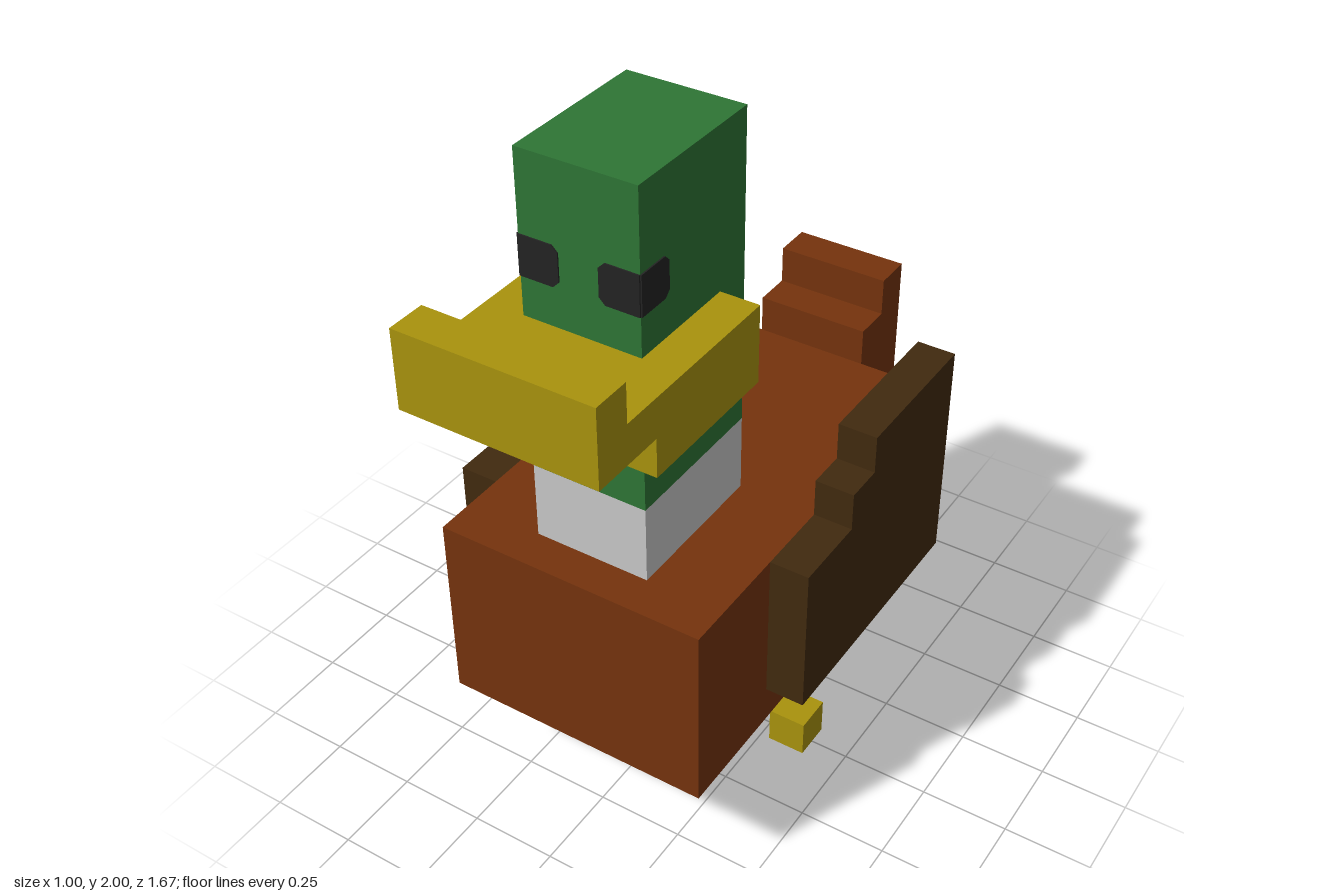
import * as THREE from 'three';

const U = 1 / 9; // one block

const mat = (name, color) => {
  const m = new THREE.MeshStandardMaterial({ color });
  m.name = name;
  return m;
};

export function createModel() {
  const brown = mat('body brown', 0x75330d);
  const darkBrown = mat('wing brown', 0x412a0f);
  const green = mat('head green', 0x2e7535);
  const white = mat('collar white', 0xc9c9c9);
  const yellow = mat('beak yellow', 0xa9930d);
  const black = mat('eye black', 0x232323);

  const root = new THREE.Group();
  root.name = 'duck';

  // Box from its extents in blocks
  const block = (parent, name, material, [x0, x1], [y0, y1], [z0, z1]) => {
    const mesh = new THREE.Mesh(
      new THREE.BoxGeometry((x1 - x0) * U, (y1 - y0) * U, (z1 - z0) * U), material);
    mesh.position.set((x0 + x1) * U / 2, (y0 + y1) * U / 2, (z0 + z1) * U / 2);
    mesh.name = name;
    parent.add(mesh);
  };
  const group = (name) => {
    const g = new THREE.Group();
    g.name = name;
    root.add(g);
    return g;
  };
  // Outline in blocks, extruded to a thickness in units
  const extrude = (points, depth) => new THREE.ExtrudeGeometry(
    new THREE.Shape(points.map(([a, b]) => new THREE.Vector2(a * U, b * U))),
    { depth, bevelEnabled: false });

  // Body and upturned tail
  block(root, 'body', brown, [-3.5, 3.5], [3, 8], [-4.5, 5.5]);
  block(root, 'rump', brown, [-2.5, 2.5], [3, 8], [-5.5, -4.5]);
  const tail = group('tail');
  block(tail, 'tailBase', brown, [-1.5, 1.5], [5, 9], [-6.5, -5.5]);
  block(tail, 'tailTip', brown, [-1.5, 1.5], [6, 10], [-7.5, -6.5]);

  // Neck and head
  block(root, 'collar', white, [-1.5, 1.5], [8, 10], [0.5, 4.5]);
  block(root, 'head', green, [-1.5, 1.5], [10, 18], [0.5, 4.5]);

  // Beak with raised tip
  const beak = group('beak');
  block(beak, 'beakBase', yellow, [-2.5, 2.5], [12, 14], [1.5, 5.5]);
  block(beak, 'beakBridge', yellow, [-2.5, 2.5], [13, 14], [5.5, 6.5]);
  block(beak, 'beakTip', yellow, [-2.5, 2.5], [13, 15], [6.5, 7.5]);

  for (const s of [1, -1]) {
    const side = s > 0 ? 'left' : 'right';

    // Stepped wing; the right one reaches one block further forward
    const front = s > 0 ? 2.5 : 3.5;
    const wingGeo = extrude([[-4.5, 4], [front, 4], [front, 8], [0.5, 8],
      [0.5, 9], [-0.5, 9], [-0.5, 10], [-4.5, 10]], U);
    wingGeo.rotateY(-Math.PI / 2);
    const wing = new THREE.Mesh(wingGeo, darkBrown);
    wing.position.x = s > 0 ? 4.5 * U : -3.5 * U;
    wing.name = side + 'Wing';
    root.add(wing);

    // Leg with two front toes and one back toe
    const leg = group(side + 'Leg');
    const cx = 2 * s;
    block(leg, 'shin', yellow, [cx - 0.5, cx + 0.5], [0, 3], [-1.5, -0.5]);
    block(leg, 'backToe', yellow, [cx - 0.5, cx + 0.5], [0, 1], [-2.5, -1.5]);
    for (const t of [-1, 1])
      block(leg, 'frontToe', yellow, [cx + t - 0.5, cx + t + 0.5], [0, 1], [-0.5, 0.5]);

    // Eye plates wrapping the head's front corner, inner corners clipped
    const eye = group(side + 'Eye');
    const thin = 0.004;
    const plate = (outer, inner, dir) => extrude([[outer, 15], [outer, 16],
      [inner + dir * 0.15, 16], [inner, 15.85], [inner, 15.15], [inner + dir * 0.15, 15]], thin);
    const frontPlate = new THREE.Mesh(plate(1.5 * s, 0.5 * s, s), black);
    frontPlate.position.z = 4.5 * U;
    frontPlate.name = 'eyeFront';
    const sideGeo = plate(4.5, 3.5, 1);
    sideGeo.rotateY(-Math.PI / 2);
    const sidePlate = new THREE.Mesh(sideGeo, black);
    sidePlate.position.x = s > 0 ? 1.5 * U + thin : -1.5 * U;
    sidePlate.name = 'eyeSide';
    eye.add(frontPlate, sidePlate);
  }

  return root;
}
